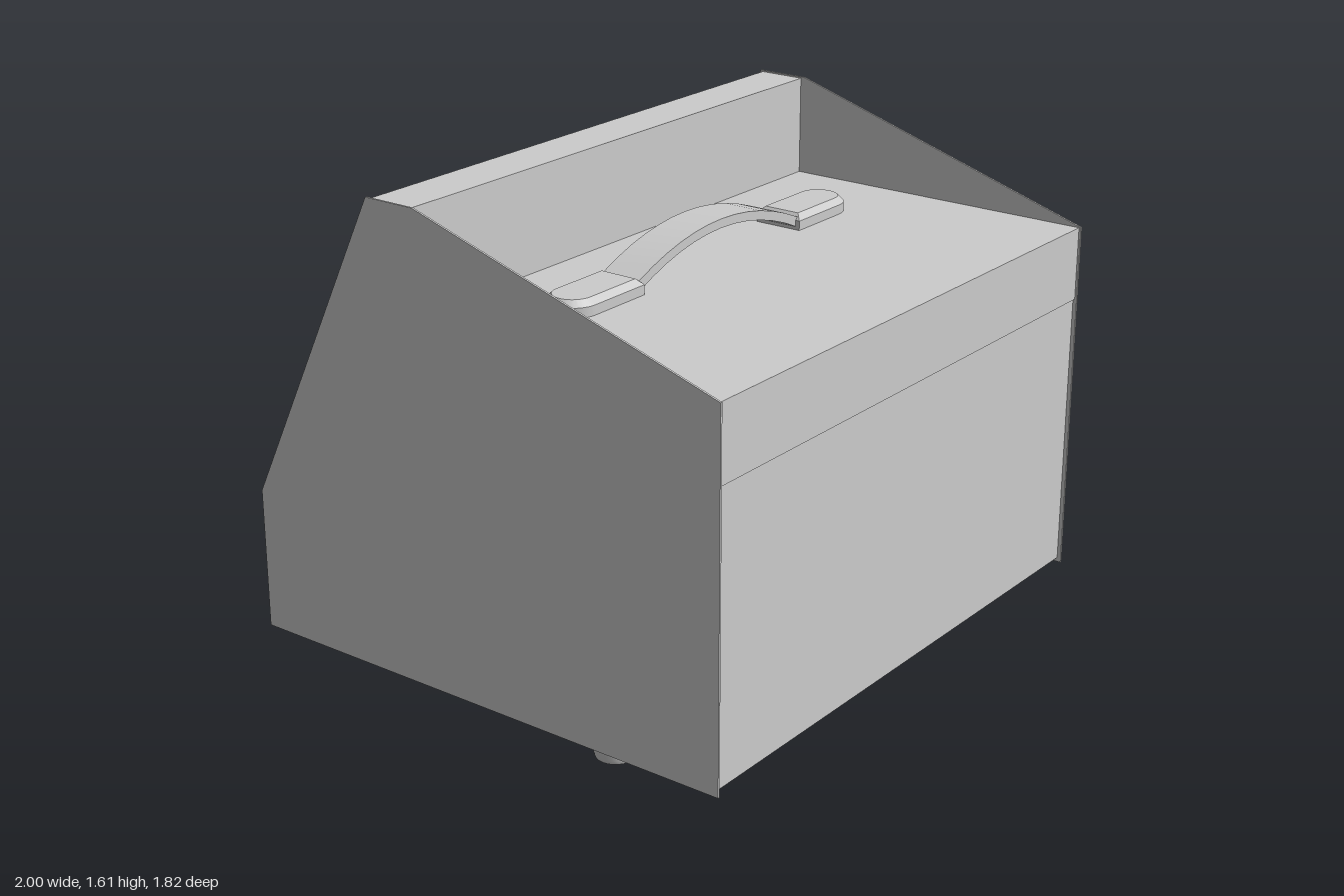
import * as THREE from 'three';
import { toCreasedNormals } from 'three/addons/utils/BufferGeometryUtils.js';

const material = new THREE.MeshStandardMaterial({ color: 0xcccccc });

function add(parent, name, geometry, x = 0, y = 0, z = 0) {
  const mesh = new THREE.Mesh(geometry, material);
  mesh.name = name;
  mesh.position.set(x, y, z);
  parent.add(mesh);
  return mesh;
}

// Side profile given as [z, y] pairs, extruded across x from x0 to x1
function crossExtrude(profile, x0, x1) {
  const shape = new THREE.Shape(profile.map(([z, y]) => new THREE.Vector2(-z, y)));
  const geometry = new THREE.ExtrudeGeometry(shape, { depth: x1 - x0, bevelEnabled: false });
  return geometry.rotateY(Math.PI / 2).translate(x0, 0, 0);
}

const lathe = (points, sides) => toCreasedNormals(
  new THREE.LatheGeometry(points.map(([r, y]) => new THREE.Vector2(r, y)), sides), 0.5);

function createHandle() {
  const handle = new THREE.Group();
  handle.name = 'handle';
  // Arched strap
  const arc = (yEnd, yMid, steps = 12) => Array.from({ length: steps + 1 }, (_, i) => {
    const t = (i / steps) * 2 - 1;
    return new THREE.Vector2(t * 0.42, yMid - (yMid - yEnd) * t * t);
  });
  const strapShape = new THREE.Shape([...arc(1.275, 1.375), ...arc(1.31, 1.405).reverse()]);
  const strap = new THREE.ExtrudeGeometry(strapShape, { depth: 0.14, bevelEnabled: false });
  add(handle, 'handleStrap', toCreasedNormals(strap, 0.5), 0, 0, 0.035);
  // End mounts, round on the outside, with a chamfered top
  for (const side of [-1, 1]) {
    const outline = new THREE.Shape();
    outline.moveTo(0, -0.065);
    outline.lineTo(0.215, -0.065);
    outline.absarc(0.215, 0, 0.065, -Math.PI / 2, Math.PI / 2, false);
    outline.lineTo(0, 0.065);
    outline.closePath();
    const mount = new THREE.ExtrudeGeometry(outline, {
      depth: 0.045, bevelThickness: 0.02, bevelSize: 0.02, bevelSegments: 1, curveSegments: 16,
    });
    mount.rotateX(-Math.PI / 2);
    const mesh = add(handle, 'handleMount', toCreasedNormals(mount, 0.5), side * 0.43, 1.255, 0.105);
    mesh.rotation.y = side < 0 ? Math.PI : 0;
  }
  return handle;
}

function createLamp() {
  const lamp = new THREE.Group();
  lamp.name = 'domeAssembly';
  add(lamp, 'domeRing', lathe(
    [[0.545, -0.01], [0.545, 0.025], [0.525, 0.045], [0.49, 0.045], [0.48, 0.025]], 64));
  add(lamp, 'dome', lathe([
    [0.485, 0.02], [0.475, 0.055], [0.455, 0.08], [0.42, 0.105], [0.36, 0.135],
    [0.28, 0.166], [0.19, 0.192], [0.09, 0.211], [0, 0.216],
  ], 64));
  // Clamps gripping the ring at the diagonals
  const clampShape = new THREE.Shape([[0.485, -0.01], [0.575, -0.01], [0.575, 0.035],
    [0.555, 0.06], [0.5, 0.06], [0.485, 0.045]].map(([x, y]) => new THREE.Vector2(x, y)));
  for (let i = 0; i < 4; i++) {
    const clamp = new THREE.ExtrudeGeometry(clampShape, { depth: 0.13, bevelEnabled: false });
    add(lamp, 'ringClamp', clamp.translate(0, 0, -0.065)).rotation.y = Math.PI / 4 + i * Math.PI / 2;
  }
  // Slightly oval, lying on the sloping back
  lamp.scale.z = 0.95;
  lamp.rotation.x = -1.115;
  lamp.position.set(0, 1.08, -0.637);
  return lamp;
}

export function createModel() {
  const model = new THREE.Group();
  model.name = 'cabinet';

  // Thin side panels
  const panel = [[0.91, 0.06], [0.91, 1.27], [-0.2, 1.61], [-0.385, 1.61], [-0.91, 0.54], [-0.91, 0.06]].reverse();
  add(model, 'leftSidePanel', crossExtrude(panel, 0.993, 1));
  add(model, 'rightSidePanel', crossExtrude(panel, -1, -0.993));

  // Body with a flat front deck and a raised, sloping back
  const body = [[0.897, 0.075], [0.897, 1.02], [0.903, 1.02], [0.903, 1.268], [-0.213, 1.268],
    [-0.213, 1.605], [-0.377, 1.605], [-0.897, 0.545], [-0.897, 0.075]].reverse();
  add(model, 'body', crossExtrude(body, -0.993, 0.993));

  model.add(createHandle(), createLamp());

  // Feet, the back pair set further in
  const footProfile = [[0, 0], [0.05, 0], [0.062, 0.006], [0.067, 0.018], [0.071, 0.08]];
  for (const side of [-1, 1]) {
    add(model, 'frontFoot', lathe(footProfile, 24), side * 0.905, 0, 0.46);
    add(model, 'backFoot', lathe(footProfile, 24), side * 0.775, 0, -0.517);
  }
  return model;
}
